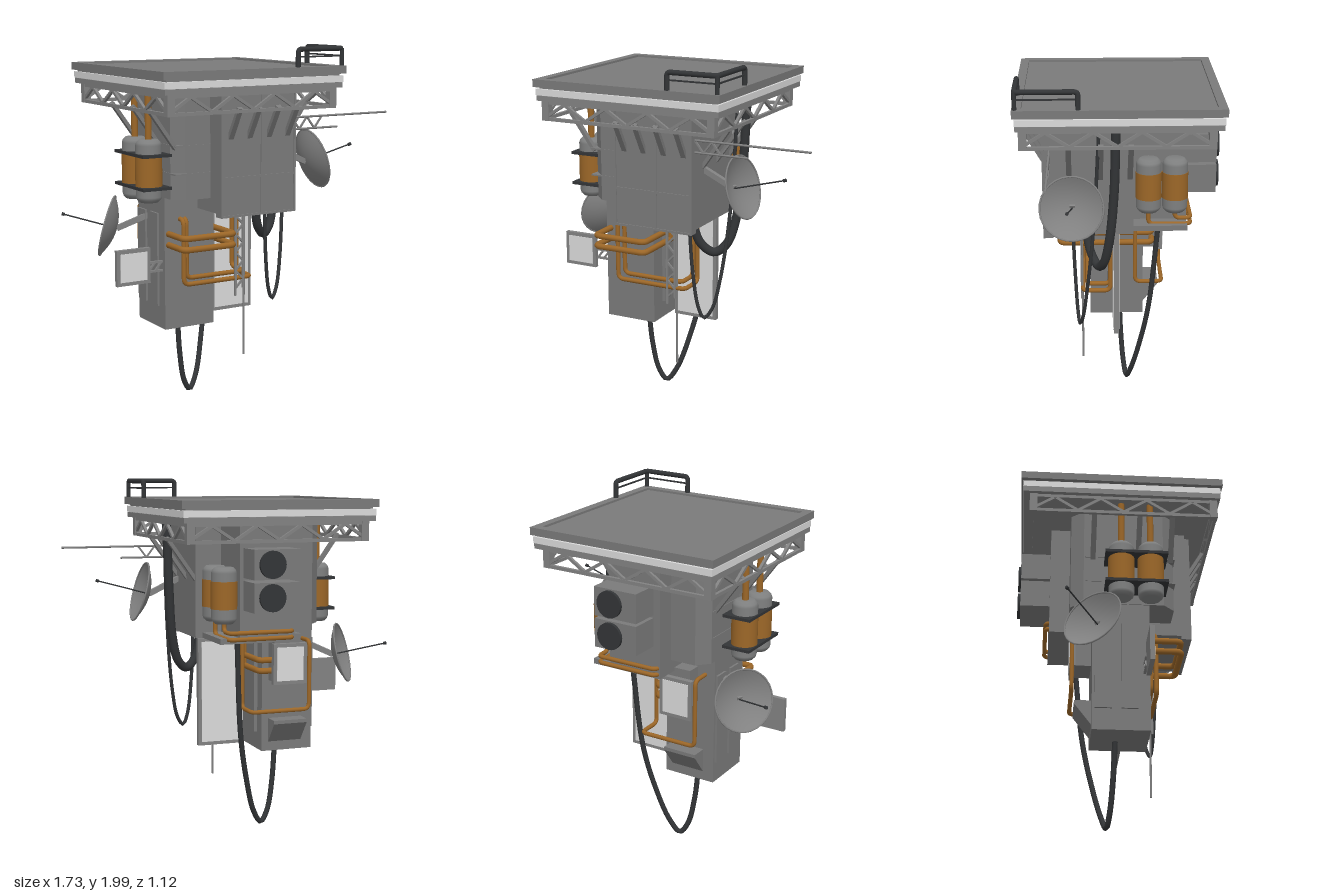
import * as THREE from 'three';

const mat = (name, color, side = THREE.FrontSide) => {
  const m = new THREE.MeshStandardMaterial({ color, side });
  m.name = name;
  return m;
};
const V = (x, y, z) => new THREE.Vector3(x, y, z);

export function createModel() {
  const root = new THREE.Group();
  root.name = 'hangingStation';
  const grey = mat('body grey', 0x7a7a7a);
  const dish = mat('dish grey', 0x828282, THREE.DoubleSide);
  const steel = mat('truss steel', 0x828282);
  const cap = mat('tank cap grey', 0x7f8080);
  const pale = mat('pale panel', 0xdadada);
  const copper = mat('copper', 0x9c6728);
  const dark = mat('dark rubber', 0x333537);

  const add = (name, geo, m, parent = root) => {
    const mesh = new THREE.Mesh(geo, m);
    mesh.name = name;
    parent.add(mesh);
    return mesh;
  };
  // box given by its limits on each axis
  const box = (name, m, x0, x1, y0, y1, z0, z1, parent) => {
    const b = add(name, new THREE.BoxGeometry(x1 - x0, y1 - y0, z1 - z0), m, parent);
    b.position.set((x0 + x1) / 2, (y0 + y1) / 2, (z0 + z1) / 2);
    return b;
  };
  // square bar or round rod between two points of the parent
  const beam = (name, m, a, b, w, d = w, parent = root) => {
    const s = add(name, new THREE.BoxGeometry(w, d, a.distanceTo(b)), m, parent);
    s.position.copy(a).add(b).multiplyScalar(0.5);
    s.quaternion.setFromRotationMatrix(new THREE.Matrix4().lookAt(b, a, V(0, 1, 0)));
    return s;
  };
  const rod = (name, m, a, b, r, parent = root) => {
    const s = add(name, new THREE.CylinderGeometry(r, r, a.distanceTo(b), 10), m, parent);
    s.position.copy(a).add(b).multiplyScalar(0.5);
    s.quaternion.setFromUnitVectors(V(0, 1, 0), b.clone().sub(a).normalize());
    return s;
  };
  // pipe with rounded bends through corner points
  const pipe = (name, m, pts, r, bend = 0.035) => {
    const path = new THREE.CurvePath();
    let last = pts[0];
    for (let i = 1; i < pts.length - 1; i++) {
      const p = pts[i];
      const a = p.clone().add(pts[i - 1].clone().sub(p).setLength(bend));
      const b = p.clone().add(pts[i + 1].clone().sub(p).setLength(bend));
      path.add(new THREE.LineCurve3(last, a));
      path.add(new THREE.QuadraticBezierCurve3(a, p, b));
      last = b;
    }
    path.add(new THREE.LineCurve3(last, pts[pts.length - 1]));
    return add(name, new THREE.TubeGeometry(path, 110, r, 10), m);
  };
  const cable = (name, pts, r) =>
    add(name, new THREE.TubeGeometry(new THREE.CatmullRomCurve3(pts), 80, r, 10), dark);

  // landing platform: stacked slabs with a raised rim
  const cx = -0.117;
  const slab = (name, m, h, y0, y1) => box(name, m, cx - h, cx + h, y0, y1, -h, h);
  slab('platformTop', grey, 0.55, 1.85, 1.88);
  slab('platformCore', grey, 0.53, 1.78, 1.86);
  slab('platformStripe', pale, 0.545, 1.805, 1.84);
  slab('platformBase', steel, 0.542, 1.775, 1.803);
  const sq = (h) => [[-h, -h], [h, -h], [h, h], [-h, h]].map(([x, y]) => new THREE.Vector2(x, y));
  const rimShape = new THREE.Shape(sq(0.556));
  rimShape.holes.push(new THREE.Path(sq(0.508).reverse()));
  const rim = add('platformRim', new THREE.ExtrudeGeometry(rimShape, { depth: 0.042, bevelEnabled: false }), grey);
  rim.rotation.x = -Math.PI / 2;
  rim.position.set(cx, 1.85, 0);

  // truss skirt: the same side turned four times
  for (let k = 0; k < 4; k++) {
    const side = new THREE.Group();
    side.name = 'trussSide';
    side.position.set(cx - 0.004, 0, 0.01);
    side.rotation.y = k * Math.PI / 2;
    root.add(side);
    const h = 0.505;
    for (const y of [1.765, 1.675]) beam('trussRail', steel, V(-h, y, h), V(h, y, h), 0.018, 0.018, side);
    box('trussCorner', steel, -h - 0.012, -h + 0.03, 1.666, 1.778, h - 0.03, h + 0.012, side);
    for (let i = 0; i < 8; i++) {
      const x = (j) => -h + j * h / 4;
      const y = (j) => (j % 2 ? 1.76 : 1.68);
      beam('trussBrace', steel, V(x(i), y(i), h), V(x(i + 1), y(i + 1), h), 0.016, 0.016, side);
    }
  }

  // main body blocks
  box('bodyFront', grey, -0.26, 0.21, 1.12, 1.777, -0.08, 0.39);
  box('bodyFace', grey, -0.26, 0.21, 1.1, 1.75, 0.36, 0.41);
  box('bodyBack', grey, -0.26, 0.06, 1.13, 1.777, -0.38, -0.07);
  box('bodyBackFloor', grey, -0.26, 0.17, 1.12, 1.15, -0.38, -0.07);
  const annex = new THREE.Shape([[-0.47, -0.2], [-0.41, -0.27], [-0.25, -0.27], [-0.25, 0.3], [-0.41, 0.3], [-0.47, 0.24]]
    .map(([x, z]) => new THREE.Vector2(x, -z)));
  const annexMesh = add('bodyAnnex', new THREE.ExtrudeGeometry(annex, { depth: 0.58, bevelEnabled: false }), grey);
  annexMesh.rotation.x = -Math.PI / 2;
  annexMesh.position.y = 1.195;
  for (const y of [1.33, 1.48]) box('annexSeam', grey, -0.474, -0.26, y, y + 0.008, -0.19, 0.304);
  for (const x of [-0.26, -0.012, 0.2]) box('faceRib', grey, x, x + 0.012, 1.1, 1.75, 0.405, 0.416);
  for (const y of [1.1, 1.305]) box('faceRib', grey, -0.26, 0.212, y, y + 0.012, 0.405, 0.416);

  // slanted supports between body and truss
  for (const x of [-0.197, -0.08, 0.042, 0.16]) beam('frontBrace', grey, V(x, 1.52, 0.4), V(x, 1.69, 0.5), 0.03, 0.02);
  for (const z of [0.27, 0.1, -0.06]) beam('rightBrace', grey, V(0.2, 1.44, z), V(0.37, 1.68, z), 0.028, 0.02);
  for (const z of [-0.15, 0.1, 0.28]) beam('leftBrace', grey, V(-0.46, 1.47, z), V(-0.62, 1.69, z), 0.028, 0.02);

  // lower column and its boxes
  box('column', grey, -0.465, -0.16, 0.46, 1.25, -0.15, 0.16);
  box('columnBackDuct', grey, -0.36, -0.2, 0.87, 1.14, -0.235, -0.14);
  box('columnSidePanel', grey, -0.165, -0.14, 0.56, 1.13, -0.08, 0.06);
  for (const z of [-0.09, 0.05]) box('columnLeftPanel', grey, -0.477, -0.46, 0.58, 1.1, z - 0.045, z + 0.045);
  const wedge = new THREE.Shape([[0.14, 0.65], [0.24, 0.65], [0.24, 0.63], [0.14, 0.5]].map(([a, b]) => new THREE.Vector2(a, b)));
  const hood = add('columnHood', new THREE.ExtrudeGeometry(wedge, { depth: 0.2, bevelEnabled: false }), grey);
  hood.rotation.y = Math.PI / 2;
  hood.position.x = -0.4;

  // framed pale panels
  const panel = (name, x, y, z, w, h, t, faces) => {
    const g = new THREE.Group();
    g.name = name;
    g.position.set(x, y, z);
    root.add(g);
    box('panelFrame', steel, -w / 2, w / 2, -h / 2, h / 2, -t / 2, t / 2, g);
    const b = 0.02;
    for (const s of faces) {
      const zf = s * (t / 2 + 0.001);
      box('panelFace', pale, -w / 2 + b, w / 2 - b, -h / 2 + b, h / 2 - b, zf - 0.002, zf + 0.002, g);
    }
  };
  panel('largePanel', 0.037, 0.795, 0.013, 0.265, 0.62, 0.03, [1, -1]);
  panel('leftPanel', -0.65, 0.832, 0.143, 0.2, 0.195, 0.025, [1]);
  panel('backPanel', -0.285, 0.975, -0.25, 0.2, 0.23, 0.03, [-1]);
  for (const y of [0.79, 0.84]) beam('panelArm', steel, V(-0.57, y, 0.13), V(-0.45, y, 0.13), 0.012);
  for (const x of [-0.55, -0.51]) beam('panelArmBrace', steel, V(x, 0.79, 0.13), V(x + 0.04, 0.84, 0.13), 0.01);

  // storage tanks
  const tank = (name, x, z, y0, y1, s0, s1) => {
    const g = new THREE.Group();
    g.name = name;
    g.position.set(x, y0, z);
    root.add(g);
    const h = y1 - y0, r = 0.07;
    const pts = [[0, 0], [0.05, 0], [0.065, 0.015], [r, 0.03], [r, h - 0.03], [0.065, h - 0.015], [0.05, h], [0, h]];
    add('tankShell', new THREE.LatheGeometry(pts.map(([a, b]) => new THREE.Vector2(a, b)), 24), cap, g);
    const sleeve = add('tankSleeve', new THREE.CylinderGeometry(0.072, 0.072, s1 - s0, 24), copper, g);
    sleeve.position.y = (s0 + s1) / 2 - y0;
  };
  for (const z of [0, 0.16]) {
    tank('leftTank', -0.557, z, 1.18, 1.515, 1.255, 1.43);
    rod('tankFeed', copper, V(-0.557, 1.5, z), V(-0.557, 1.78, z), 0.018);
  }
  for (const y of [1.25, 1.425]) box('tankClamp', dark, -0.635, -0.465, y, y + 0.016, -0.09, 0.25);
  for (const z of [-0.165, -0.31]) tank('rightTank', 0.125, z, 1.225, 1.53, 1.305, 1.455);

  // cooling units with round fans
  for (const y of [1.38, 1.555]) {
    box('coolingUnit', grey, -0.22, 0.04, y - 0.08, y + 0.08, -0.545, -0.37);
    const fan = add('fan', new THREE.CylinderGeometry(0.074, 0.074, 0.03, 24), dark);
    fan.rotation.x = Math.PI / 2;
    fan.position.set(-0.06, y, -0.547);
  }

  // copper pipework
  for (const y of [0.993, 0.932])
    pipe('frontLoopPipe', copper, [V(-0.44, y, 0.1), V(-0.44, y, 0.333), V(-0.125, y, 0.333), V(-0.125, y, -0.2), V(-0.25, y, -0.2)], 0.017);
  rod('loopRiser', copper, V(-0.122, 0.93, 0.03), V(-0.122, 1.13, 0.03), 0.013);
  for (const [o, z] of [[0, 0.19], [0.03, 0.165]])
    pipe('lowerPipe', copper, [V(-0.37 + o, 1.07, 0.1), V(-0.37 + o, 1.07, z + 0.012), V(-0.37 + o, 0.71 + o, z + 0.012), V(0.06 - o, 0.71 + o, z + 0.012), V(0.06 - o, 0.71 + o, 0.045), V(0.06 - o, 1.13, 0.045)], 0.013);
  pipe('backPipe', copper, [V(-0.06, 1.13, -0.1), V(-0.06, 0.71, -0.1), V(-0.06, 0.71, -0.255), V(-0.405, 0.71, -0.255), V(-0.405, 1.1, -0.255), V(-0.405, 1.1, -0.1)], 0.012);
  for (const [z, y] of [[-0.165, 1.145], [-0.31, 1.18]])
    pipe('tankPipe', copper, [V(0.125, 1.25, z), V(0.125, y, z), V(0.125, y, -0.4), V(-0.245, y, -0.4), V(-0.245, y, -0.2)], 0.012);

  // hanging cables
  cable('thickCable', [V(0.345, 1.77, 0.02), V(0.33, 1.4, 0.03), V(0.305, 1.12, 0.055), V(0.26, 0.97, 0.085), V(0.2, 0.925, 0.115), V(0.135, 0.98, 0.155), V(0.09, 1.14, 0.19)], 0.025);
  cable('thinCable', [V(0.33, 1.72, 0.11), V(0.31, 1.2, 0.14), V(0.27, 0.8, 0.18), V(0.23, 0.62, 0.205), V(0.19, 0.568, 0.222), V(0.16, 0.63, 0.232), V(0.13, 0.85, 0.245), V(0.115, 1.12, 0.255)], 0.01);
  cable('longCable', [V(-0.295, 0.48, -0.015), V(-0.275, 0.25, -0.025), V(-0.24, 0.08, -0.04), V(-0.195, 0.016, -0.055), V(-0.14, 0.09, -0.08), V(-0.075, 0.3, -0.13), V(-0.02, 0.58, -0.18), V(0.02, 1.13, -0.23)], 0.015);

  // corner handrail
  pipe('handrail', dark, [V(0.135, 1.87, 0.54), V(0.135, 1.985, 0.54), V(0.418, 1.985, 0.54), V(0.418, 1.985, 0.215), V(0.418, 1.87, 0.215)], 0.014, 0.02);
  beam('handrailBar', dark, V(0.135, 1.945, 0.54), V(0.418, 1.945, 0.54), 0.008);
  beam('handrailBar', dark, V(0.418, 1.945, 0.54), V(0.418, 1.945, 0.215), 0.008);
  rod('handrailPost', dark, V(0.418, 1.87, 0.54), V(0.418, 1.985, 0.54), 0.012);

  // hanging lattice mast with a pole
  for (const x of [-0.047, 0.003]) beam('mastRail', steel, V(x, x < 0 ? 0.61 : 0.65, 0.21), V(x, 1.13, 0.21), 0.012);
  for (let i = 0; i < 9; i++) {
    const x = (j) => (j % 2 ? 0.003 : -0.047);
    beam('mastBrace', steel, V(x(i), 0.65 + i * 0.052, 0.21), V(x(i + 1), 0.702 + i * 0.052, 0.21), 0.01);
  }
  rod('mastPole', steel, V(0.012, 0.26, 0.205), V(0.012, 1.12, 0.205), 0.006);

  // side boom
  rod('boomPole', steel, V(0.2, 1.61, 0.375), V(0.86, 1.61, 0.375), 0.006);
  rod('boomRail', steel, V(0.2, 1.545, 0.375), V(0.515, 1.545, 0.375), 0.006);
  for (let i = 0; i < 4; i++) {
    const y = (j) => (j % 2 ? 1.545 : 1.61);
    beam('boomBrace', steel, V(0.21 + i * 0.05, y(i), 0.375), V(0.26 + i * 0.05, y(i + 1), 0.375), 0.009);
  }

  // dish antennas: bowl opens along the local y axis
  const bowl = [];
  for (let i = 0; i <= 8; i++) bowl.push(new THREE.Vector2(0.172 * i / 8, 0.055 * (i / 8) ** 2 - 0.045));
  const antenna = (name, c, tip, foot) => {
    const g = new THREE.Group();
    g.name = name;
    g.position.copy(c);
    const axis = tip.clone().sub(c);
    g.quaternion.setFromUnitVectors(V(0, 1, 0), axis.clone().normalize());
    root.add(g);
    add('dishBowl', new THREE.LatheGeometry(bowl, 28), dish, g);
    const edge = add('dishRim', new THREE.TorusGeometry(0.17, 0.005, 6, 28), steel, g);
    edge.rotation.x = Math.PI / 2;
    edge.position.y = 0.01;
    rod('feedRod', dark, V(0, -0.045, 0), V(0, axis.length(), 0), 0.004, g);
    const end = add('feedTip', new THREE.CylinderGeometry(0.009, 0.009, 0.016, 10), dark, g);
    end.position.y = axis.length();
    const back = c.clone().addScaledVector(axis.normalize(), -0.045);
    beam('dishArm', steel, back, foot, 0.03);
  };
  antenna('rightDish', V(0.427, 1.355, 0.255), V(0.68, 1.425, 0.275), V(0.2, 1.43, 0.25));
  antenna('leftDish', V(-0.645, 1.005, -0.155), V(-0.855, 1.07, -0.3), V(-0.45, 1.07, -0.05));

  return root;
}
